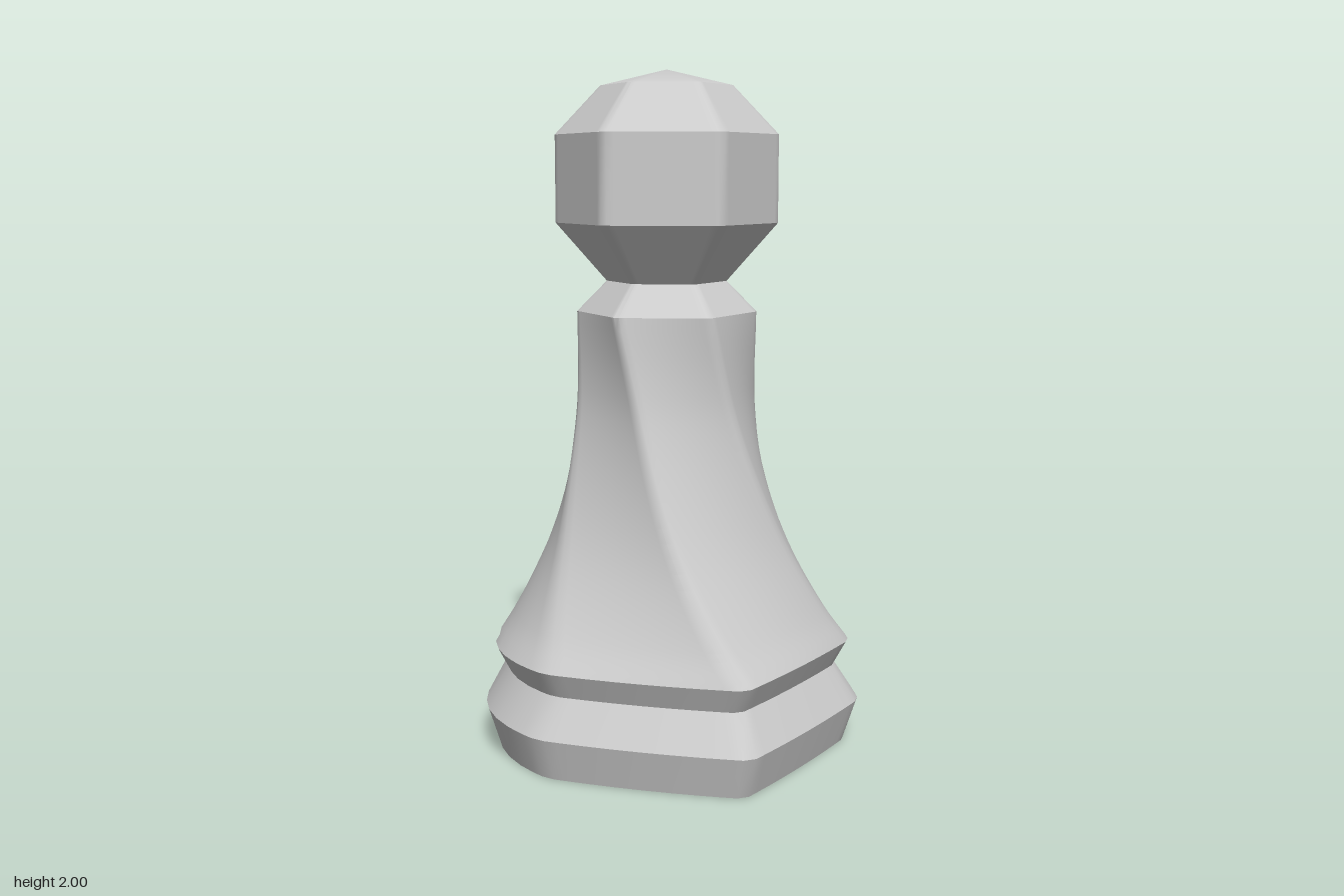
import * as THREE from 'three';
import { toCreasedNormals } from 'three/addons/utils/BufferGeometryUtils.js';

const TWIST = 0.96; // turn of the body between neck and foot
const FOOT_RADIUS = 0.575;

// worn foot outline: corners in x, z and how far each following side bulges
const footCorners = [
  [0.497, 0.352], [0.53, -0.25], [0.072, -0.55],
  [-0.487, -0.378], [-0.522, 0.165], [-0.09, 0.541],
];
const footBulge = [0.01, 0.06, 0.012, 0.015, 0.085, 0.015];

// positions along one side; the gap at each corner makes a small bevel
const steps = [0.035, 0.1, 0.22, 0.36, 0.5, 0.64, 0.78, 0.9, 0.965];

// regular hexagon of radius 1 with a corner towards +z
const hexagon = [];
// foot outline scaled to radius 1 and turned back to line up with the hexagon
const foot = [];
for (let k = 0; k < 6; k++) {
  const a = (k * Math.PI) / 3, b = a + Math.PI / 3;
  const p = new THREE.Vector2(...footCorners[k]);
  const q = new THREE.Vector2(...footCorners[(k + 1) % 6]);
  const side = q.clone().sub(p).normalize();
  const outward = new THREE.Vector2(-side.y, side.x);
  for (const u of steps) {
    hexagon.push(new THREE.Vector2(
      THREE.MathUtils.lerp(Math.sin(a), Math.sin(b), u),
      THREE.MathUtils.lerp(Math.cos(a), Math.cos(b), u)));
    const point = p.clone().lerp(q, u);
    if (outward.dot(point) < 0) outward.negate();
    point.addScaledVector(outward, footBulge[k] * 4 * u * (1 - u));
    foot.push(point.rotateAround(new THREE.Vector2(), TWIST).divideScalar(FOOT_RADIUS));
  }
}

// skin through rows { y, r, t, chip }: t blends hexagon (0) to twisted foot (1)
function skin(rows) {
  const n = hexagon.length;
  const positions = [];
  const index = [];
  const origin = new THREE.Vector2();
  const chipAt = 4 * steps.length;
  for (const { y, r, t = 0, chip = 1 } of rows) {
    for (let i = 0; i < n; i++) {
      const p = hexagon[i].clone().lerp(foot[i], t).rotateAround(origin, -TWIST * t);
      const chipped = i >= chipAt - 1 && i <= chipAt + 2;
      p.multiplyScalar(r * (chipped ? chip : 1));
      positions.push(p.x, y, p.y);
    }
  }
  for (let j = 0; j < rows.length - 1; j++) {
    for (let i = 0; i < n; i++) {
      const a = j * n + i, b = j * n + ((i + 1) % n);
      if (rows[j].r > 0) index.push(a, b, b + n);
      if (rows[j + 1].r > 0) index.push(a, b + n, a + n);
    }
  }
  const geometry = new THREE.BufferGeometry();
  geometry.setAttribute('position', new THREE.Float32BufferAttribute(positions, 3));
  geometry.setIndex(index);
  return toCreasedNormals(geometry, 0.55);
}

export function createModel() {
  const group = new THREE.Group();
  const stone = new THREE.MeshStandardMaterial({ color: 0xcccccc });
  stone.name = 'light grey';

  const add = (name, rows) => {
    const mesh = new THREE.Mesh(skin(rows), stone);
    mesh.name = name;
    group.add(mesh);
  };

  // foot ring, groove and upper lip, with a worn corner
  const R = FOOT_RADIUS;
  add('base', [
    { y: 0, r: 0, t: 1 },
    { y: 0, r: 0.93 * R, t: 1 },
    { y: 0.125, r: R, t: 1 },
    { y: 0.235, r: 0.875 * R, t: 1, chip: 1.02 },
    { y: 0.31, r: 0.945 * R, t: 1, chip: 0.965 },
  ]);

  // flared, twisted body
  const flare = new THREE.CatmullRomCurve3([
    [0.543, 0.31], [0.485, 0.4], [0.388, 0.6], [0.323, 0.8],
    [0.28, 1], [0.27, 1.12], [0.27, 1.3],
  ].map(([r, y]) => new THREE.Vector3(r, y, 0)));
  const bodyRows = flare.getPoints(30).map((p) => ({
    y: p.y, r: p.x, t: THREE.MathUtils.clamp((1.3 - p.y) / 0.99, 0, 1),
  }));
  bodyRows[0].chip = 0.965;
  add('body', bodyRows);

  // sloping shoulder up to the neck
  add('shoulder', [{ y: 1.3, r: 0.27 }, { y: 1.39, r: 0.18 }]);

  // faceted head
  add('head', [
    { y: 1.39, r: 0.18 },
    { y: 1.56, r: 0.332 },
    { y: 1.815, r: 0.332 },
    { y: 1.955, r: 0.196 },
    { y: 2, r: 0 },
  ]);
  return group;
}
